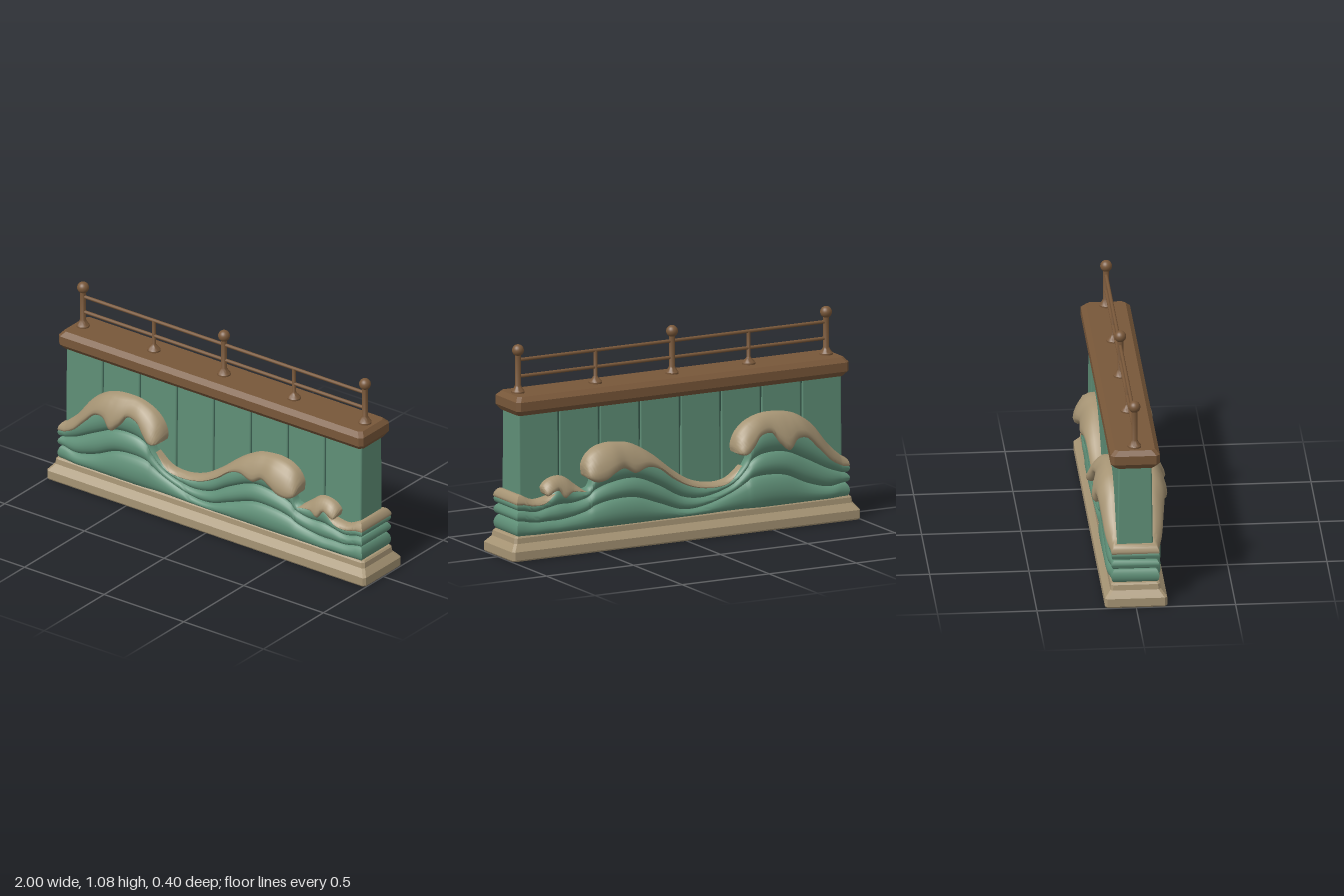
import * as THREE from 'three';
import { toCreasedNormals, mergeGeometries } from 'three/addons/utils/BufferGeometryUtils.js';
import { RoundedBoxGeometry } from 'three/addons/geometries/RoundedBoxGeometry.js';

const mat = (name, color) => {
  const m = new THREE.MeshStandardMaterial({ color });
  m.name = name;
  return m;
};

const WALL_Z = 0.09;
const END_X = 0.925;

// Joins columns of points (a closed loop of equal-length columns) into a surface.
function skin(columns, crease) {
  const rows = columns[0].length;
  const index = [];
  columns.forEach((c, i) => {
    const a = i * rows, b = ((i + 1) % columns.length) * rows;
    for (let v = 0; v < rows - 1; v++) {
      index.push(a + v, a + v + 1, b + v + 1, a + v, b + v + 1, b + v);
    }
  });
  const g = new THREE.BufferGeometry();
  g.setAttribute('position', new THREE.Float32BufferAttribute(columns.flat(2), 3));
  g.setIndex(index);
  return toCreasedNormals(g, crease);
}

// Rectangular moulding with clipped corners; profile rows are [halfX, halfZ, y], bottom to top.
function moulding(profile, clip) {
  const columns = [];
  const corners = [[-1, 1, 0], [1, 1, 1], [1, -1, 0], [-1, -1, 1]];
  for (const [sx, sz, xFirst] of corners) {
    for (const k of [0, 1]) {
      const cutX = (k === 0) === (xFirst === 1);
      columns.push(profile.map(([hx, hz, y]) => {
        const cx = Math.min(clip, hx), cz = Math.min(clip, hz);
        return [sx * (hx - (cutX ? cx : 0)), y, sz * (hz - (cutX ? 0 : cz))];
      }).reverse());
    }
  }
  return skin(columns, 0.3);
}

// Relief ribbon on both faces of the wall, wrapping round the ends it reaches.
// Rows: [upperX, upperY, lowerX, lowerY, depth]; section: [fraction down, fraction of depth].
function ribbon(rows, section, steps) {
  const curve = (a, b) => new THREE.CatmullRomCurve3(
    rows.map((r) => new THREE.Vector3(r[a], r[b], r[4])));
  const upper = curve(0, 1), lower = curve(2, 3);
  const column = (j, side) => {
    const p = upper.getPoint(j / steps), q = lower.getPoint(j / steps);
    const atEnd = (j === 0 || j === steps) && Math.abs(p.x) > END_X - 0.005;
    return section.map(([s, h]) => {
      const out = h * p.z;
      const x = p.x + (q.x - p.x) * s + (atEnd ? Math.sign(p.x) * out : 0);
      return [x, p.y + (q.y - p.y) * s, side * (WALL_Z + out)];
    });
  };
  const columns = [];
  for (let j = 0; j <= steps; j++) columns.push(column(j, 1));
  for (let j = steps; j >= 0; j--) columns.push(column(j, -1));
  return skin(columns, 0.9);
}

export function createModel() {
  const green = mat('sea green', 0x5f8f77);
  const darkGreen = mat('groove green', 0x36574a);
  const tan = mat('sand', 0xa69474);
  const brown = mat('wood brown', 0x785739);

  const model = new THREE.Group();
  const add = (name, geometry, material, x = 0, y = 0, z = 0) => {
    const m = new THREE.Mesh(geometry, material);
    m.name = name;
    m.position.set(x, y, z);
    model.add(m);
    return m;
  };

  // Stepped plinth and wooden cap
  add('plinth', moulding([[0, 0, 0], [0.995, 0.152, 0], [1, 0.157, 0.008], [1, 0.157, 0.05],
    [0.994, 0.15, 0.058], [0.972, 0.127, 0.085], [0.968, 0.124, 0.112], [0.96, 0.117, 0.12],
    [0, 0, 0.12]], 0.012), tan);
  add('cap', moulding([[0, 0, 0.735], [0.937, 0.1, 0.735], [0.955, 0.124, 0.762],
    [0.955, 0.124, 0.808], [0.935, 0.1, 0.832], [0, 0, 0.832]], 0.018), brown);

  // Planked wall, slightly narrower towards the top
  add('wallCore', new THREE.BoxGeometry(1.8, 0.62, 0.158), darkGreen, 0, 0.43);
  const pitch = 1.86 / 8;
  for (let i = 0; i < 8; i++) {
    const plank = new RoundedBoxGeometry(pitch - 0.006, 0.64, 0.186, 2, 0.009);
    const pos = plank.attributes.position;
    for (let k = 0; k < pos.count; k++) {
      pos.setZ(k, pos.getZ(k) * (1 - 0.1 * (pos.getY(k) / 0.64 + 0.5)));
    }
    add('plank', plank, green, -0.93 + pitch * (i + 0.5), 0.43);
  }

  // Water: three stacked swells; rows are [x, first seam, second seam, top, depth]
  const swell = [
    [-0.925, 0.19, 0.24, 0.29, 0.03], [-0.84, 0.18, 0.27, 0.37, 0.045],
    [-0.72, 0.21, 0.33, 0.46, 0.05], [-0.58, 0.27, 0.39, 0.53, 0.055],
    [-0.45, 0.28, 0.39, 0.53, 0.055], [-0.39, 0.27, 0.36, 0.48, 0.05],
    [-0.36, 0.25, 0.32, 0.37, 0.045], [-0.28, 0.21, 0.25, 0.285, 0.04],
    [-0.12, 0.16, 0.205, 0.26, 0.04], [0, 0.155, 0.22, 0.3, 0.042],
    [0.13, 0.2, 0.29, 0.39, 0.05], [0.28, 0.25, 0.35, 0.46, 0.055],
    [0.42, 0.25, 0.34, 0.47, 0.055], [0.51, 0.23, 0.31, 0.42, 0.05],
    [0.55, 0.21, 0.28, 0.33, 0.048], [0.63, 0.19, 0.26, 0.33, 0.045],
    [0.71, 0.18, 0.26, 0.37, 0.045], [0.77, 0.18, 0.25, 0.31, 0.042],
    [0.85, 0.18, 0.235, 0.29, 0.04], [0.925, 0.195, 0.25, 0.3, 0.032]];
  const swellSection = [[0, 0], [0.02, 0.4], [0.12, 0.66], [0.28, 0.87], [0.46, 0.99],
    [0.62, 1], [0.78, 0.92], [0.92, 0.74], [1, 0.5], [1, 0]];
  ['upperSwell', 'middleSwell', 'lowerSwell'].forEach((name, k) => {
    const rows = swell.map((r) => [r[0], r[3 - k], r[0], k === 2 ? 0.115 : r[2 - k], r[4]]);
    add(name, ribbon(rows, swellSection, 120), green);
  });

  // Foam: overhanging crests that swell outwards towards their lower lip
  const foamSection = [[0, 0], [0.02, 0.28], [0.1, 0.47], [0.25, 0.68], [0.45, 0.85],
    [0.65, 0.96], [0.82, 1], [0.94, 0.94], [1, 0.8], [0.99, 0.62], [0.94, 0.4], [0.9, 0]];
  const foam = (name, rows, steps) => add(name, ribbon(rows, foamSection, steps), tan);
  foam('tallCrestFoam', [
    [-0.925, 0.32, -0.925, 0.27, 0.03], [-0.84, 0.395, -0.85, 0.31, 0.052],
    [-0.74, 0.515, -0.77, 0.385, 0.067], [-0.66, 0.57, -0.69, 0.455, 0.08],
    [-0.6, 0.59, -0.635, 0.455, 0.088], [-0.56, 0.597, -0.585, 0.405, 0.1],
    [-0.5, 0.6, -0.54, 0.44, 0.09], [-0.46, 0.598, -0.49, 0.5, 0.075],
    [-0.41, 0.587, -0.42, 0.49, 0.085], [-0.35, 0.56, -0.375, 0.44, 0.1],
    [-0.3, 0.51, -0.335, 0.41, 0.11], [-0.28, 0.455, -0.305, 0.41, 0.1],
    [-0.285, 0.42, -0.285, 0.42, 0.06]], 84);
  foam('longCrestFoam', [
    [-0.33, 0.345, -0.33, 0.345, 0.04], [-0.25, 0.287, -0.255, 0.265, 0.047],
    [-0.16, 0.275, -0.16, 0.25, 0.047], [-0.05, 0.3, -0.04, 0.27, 0.05],
    [0.05, 0.36, 0.06, 0.32, 0.056], [0.17, 0.455, 0.15, 0.385, 0.068],
    [0.24, 0.5, 0.22, 0.405, 0.08], [0.305, 0.53, 0.3, 0.385, 0.09],
    [0.36, 0.54, 0.36, 0.415, 0.088], [0.43, 0.545, 0.42, 0.4, 0.105],
    [0.5, 0.532, 0.475, 0.37, 0.11], [0.55, 0.5, 0.53, 0.365, 0.105],
    [0.578, 0.45, 0.565, 0.382, 0.09], [0.575, 0.4, 0.575, 0.4, 0.06]], 84);
  foam('smallCrestFoam', [
    [0.56, 0.31, 0.56, 0.31, 0.045], [0.62, 0.355, 0.65, 0.318, 0.055],
    [0.68, 0.398, 0.69, 0.295, 0.065], [0.73, 0.405, 0.725, 0.335, 0.058],
    [0.78, 0.39, 0.76, 0.33, 0.065], [0.81, 0.36, 0.79, 0.315, 0.062],
    [0.805, 0.33, 0.805, 0.33, 0.05]], 42);
  foam('endFoam', [
    [0.745, 0.32, 0.745, 0.32, 0.045], [0.8, 0.305, 0.8, 0.275, 0.048],
    [0.86, 0.3, 0.86, 0.268, 0.044], [0.925, 0.33, 0.925, 0.28, 0.034]], 24);

  // Railing: turned posts with ball finials, thinner balusters, two rails
  const post = (r, top) => new THREE.LatheGeometry(
    [[0, 0], [0.034, 0], [0.034, 0.008], [0.026, 0.018], [r + 0.004, 0.03], [r, 0.038],
      [r, top], [0, top]].map(([x, y]) => new THREE.Vector2(x, y)), 20);
  for (const x of [-0.885, 0, 0.885]) {
    const ball = new THREE.SphereGeometry(0.03, 24, 16).translate(0, 0.218, 0);
    add('post', mergeGeometries([toCreasedNormals(post(0.015, 0.2), 0.6),
      ball.toNonIndexed()]), brown, x, 0.832);
  }
  for (const x of [-0.44, 0.44]) {
    add('baluster', toCreasedNormals(post(0.01, 0.168), 0.6), brown, x, 0.832);
  }
  for (const y of [0.915, 1.0]) {
    add('rail', new THREE.CylinderGeometry(0.009, 0.009, 1.77, 12).rotateZ(Math.PI / 2), brown, 0, y);
  }
  return model;
}
